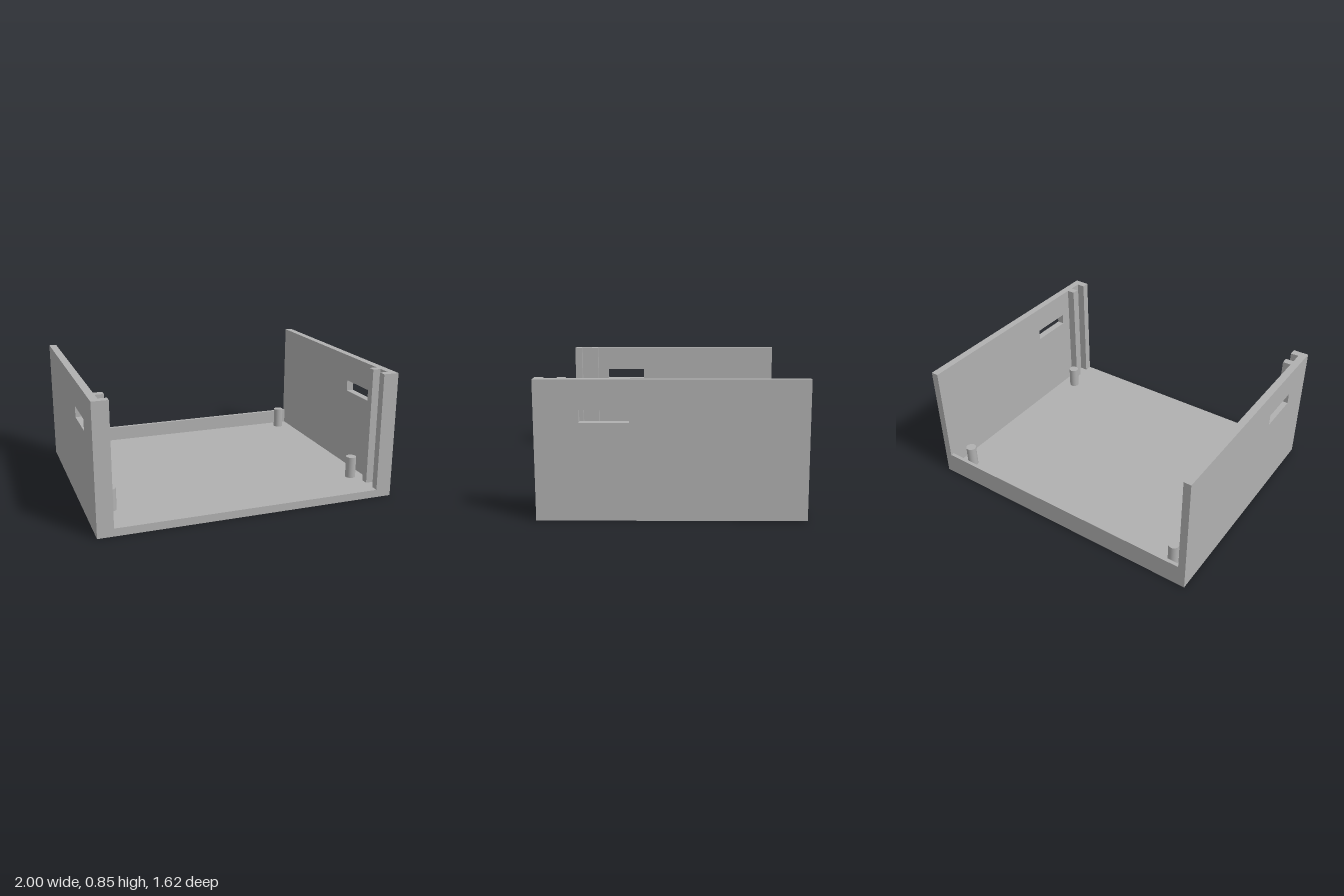
import * as THREE from 'three';

export function createModel() {
  const model = new THREE.Group();
  model.name = 'openEnclosure';
  const grey = new THREE.MeshStandardMaterial({ color: 0xb0b0b0 });
  grey.name = 'grey plastic';

  const WALL = 0.05, FLOOR = 0.052, HEIGHT = 0.85, DEPTH = 0.81;

  const add = (name, geometry, x = 0, y = 0, z = 0) => {
    const mesh = new THREE.Mesh(geometry, grey);
    mesh.name = name;
    mesh.position.set(x, y, z);
    model.add(mesh);
    return mesh;
  };
  // Box given by its extents
  const block = (name, x0, x1, y0, y1, z0, z1) =>
    add(name, new THREE.BoxGeometry(x1 - x0, y1 - y0, z1 - z0),
      (x0 + x1) / 2, (y0 + y1) / 2, (z0 + z1) / 2);
  const rectangle = (path, x0, x1, y0, y1) =>
    path.moveTo(x0, y0).lineTo(x1, y0).lineTo(x1, y1).lineTo(x0, y1).closePath();

  // Floor and low back lip
  const inner = 1 - WALL;
  block('floor', -inner, inner, 0, FLOOR, -DEPTH, DEPTH);
  block('backLip', -inner, inner, FLOOR, 0.155, -DEPTH, -0.785);

  // Side wall outline (z, y) with a vent slot
  const outline = rectangle(new THREE.Shape(), -DEPTH, DEPTH, 0, HEIGHT);
  outline.holes.push(rectangle(new THREE.Path(), 0.25, 0.545, 0.595, 0.67));
  const wallGeometry = new THREE.ExtrudeGeometry(outline, { depth: WALL, bevelEnabled: false });
  wallGeometry.rotateY(-Math.PI / 2).translate(WALL / 2, 0, 0);

  const pegGeometry = new THREE.CylinderGeometry(0.035, 0.035, 0.2 - FLOOR, 32);

  for (const [side, s] of [['left', 1], ['right', -1]]) {
    add(side + 'Wall', wallGeometry, s * (1 - WALL / 2));

    // Two rails forming the front panel groove
    for (const [part, z0, z1] of [['InnerRail', 0.625, 0.676], ['FrontRail', 0.757, DEPTH]]) {
      const xs = [s * 0.895, s * inner].sort((a, b) => a - b);
      block(side + part, xs[0], xs[1], FLOOR, HEIGHT, z0, z1);
    }

    // Mounting pegs
    for (const [part, z] of [['FrontPeg', 0.53], ['BackPeg', -0.7]])
      add(side + part, pegGeometry, s * 0.852, (FLOOR + 0.2) / 2, z);
  }
  return model;
}
